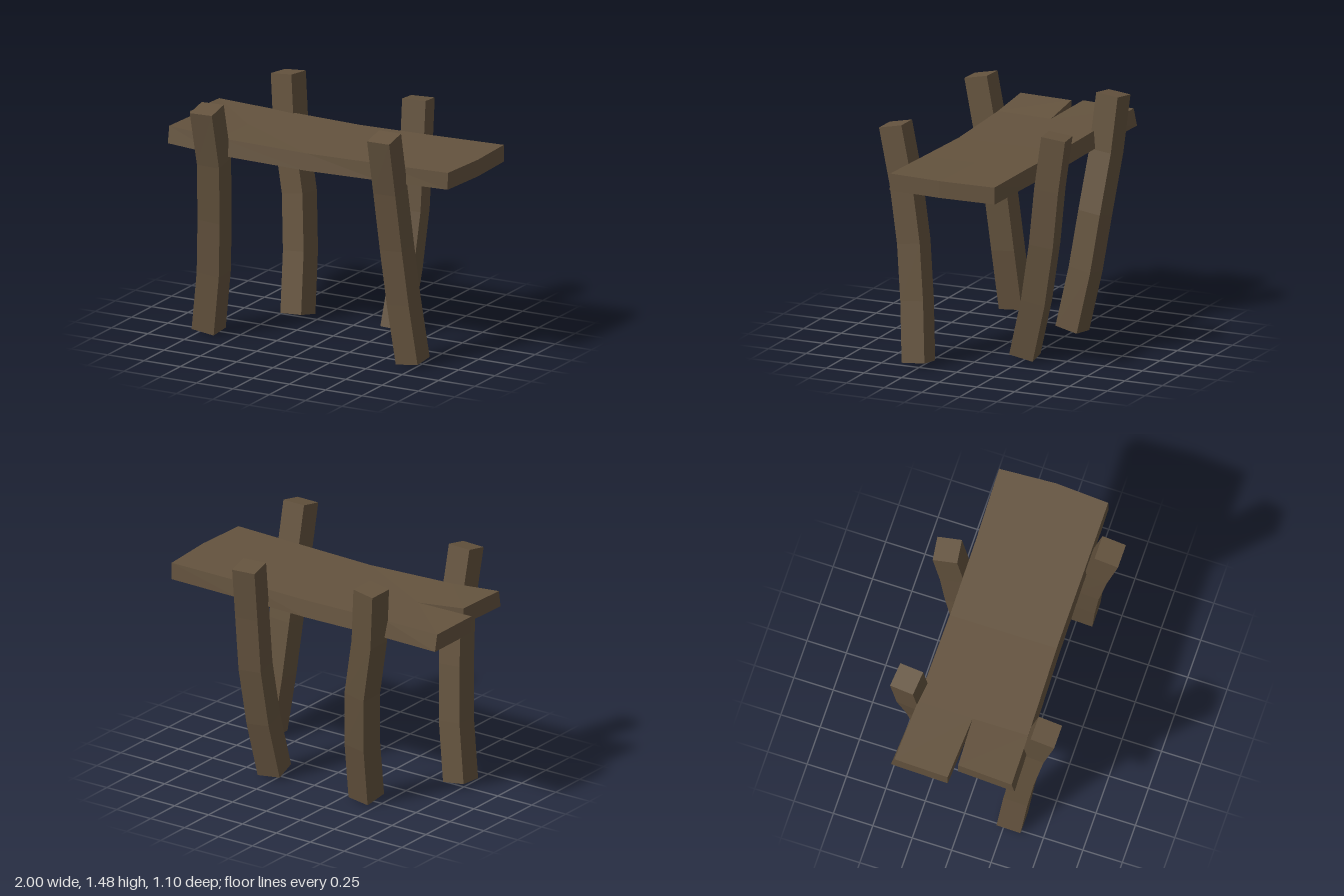
import * as THREE from 'three';

// Skin a closed ring of points along its stations, with optional end caps
function loft(rings, capStart = true, capEnd = true) {
  const pos = [];
  const tri = (...pts) => pts.forEach((p) => pos.push(...p));
  const n = rings[0].length;
  for (let k = 0; k < rings.length - 1; k++) {
    const a = rings[k], b = rings[k + 1];
    for (let i = 0; i < n; i++) {
      const j = (i + 1) % n;
      tri(a[i], a[j], b[j]);
      tri(a[i], b[j], b[i]);
    }
  }
  const first = rings[0], last = rings[rings.length - 1];
  for (let i = 1; i < n - 1; i++) {
    if (capStart) tri(first[0], first[i + 1], first[i]);
    if (capEnd) tri(last[0], last[i], last[i + 1]);
  }
  const geo = new THREE.BufferGeometry();
  geo.setAttribute('position', new THREE.Float32BufferAttribute(pos, 3));
  geo.computeVertexNormals();
  return geo;
}

// Crooked square post following a list of centres from foot to top
function postGeometry(path, yaw, size = 0.152) {
  const c = path.map((p) => new THREE.Vector3(...p));
  const h = size / 2;
  const rings = c.map((p, i) => {
    const t = c[Math.min(i + 1, c.length - 1)].clone().sub(c[Math.max(i - 1, 0)]).normalize();
    const u = new THREE.Vector3(Math.cos(yaw), 0, -Math.sin(yaw));
    u.addScaledVector(t, -u.dot(t)).normalize();
    const w = u.clone().cross(t);
    return [[-h, -h], [-h, h], [h, h], [h, -h]].map(([a, b]) =>
      p.clone().addScaledVector(u, a).addScaledVector(w, b).toArray());
  });
  return loft(rings);
}

export function createModel() {
  const model = new THREE.Group();
  model.name = 'rusticTable';
  const wood = new THREE.MeshStandardMaterial({ color: 0x64533e, flatShading: true });
  wood.name = 'darkWood';
  const add = (parent, name, geo) => {
    const mesh = new THREE.Mesh(geo, wood);
    mesh.name = name;
    parent.add(mesh);
  };

  // Legs, each bent and splayed differently
  const legs = {
    frontRightLeg: [0, [[-0.70, 0.025, 0.285], [-0.65, 0.4, 0.312], [-0.625, 0.75, 0.347],
      [-0.60, 1.12, 0.40], [-0.61, 1.468, 0.472]]],
    frontLeftLeg: [0, [[0.70, 0.025, 0.278], [0.655, 0.4, 0.308], [0.627, 0.75, 0.343],
      [0.613, 1.12, 0.40], [0.61, 1.468, 0.472]]],
    backLeftLeg: [0.13, [[0.30, 0.033, -0.243], [0.32, 0.39, -0.33], [0.335, 0.75, -0.39],
      [0.335, 1.1, -0.425], [0.327, 1.425, -0.468]]],
    backRightLeg: [-0.11, [[-0.378, 0.025, -0.243], [-0.403, 0.4, -0.32], [-0.437, 0.75, -0.368],
      [-0.515, 1.12, -0.405], [-0.55, 1.47, -0.435]]],
  };
  for (const [name, [yaw, path]] of Object.entries(legs)) add(model, name, postGeometry(path, yaw));

  // Table top: sagging plank, split at its right end
  const top = new THREE.Group();
  top.name = 'tableTop';
  model.add(top);
  const thick = 0.105;
  const under = ([x, y, z], out) => [x, y - thick, z + out];

  // Plank section from three upper points; the lower edges flare out a little
  const section = (back, mid, front, out) => [
    under(mid, 0), under(back, -out), back, mid, front, under(front, out)];
  const rootBack = [-0.59, 1.25, -0.35], rootMid = [-0.59, 1.25, -0.003], rootFront = [-0.59, 1.257, 0.35];
  add(top, 'plank', loft([
    section(rootBack, rootMid, rootFront, 0.015),
    section([0, 1.24, -0.343], [0, 1.24, 0], [0, 1.242, 0.335], 0.014),
    section([0.5, 1.248, -0.345], [0.5, 1.25, 0], [0.5, 1.252, 0.337], 0.008),
    section([0.978, 1.256, -0.355], [0.996, 1.26, 0], [0.975, 1.263, 0.338], 0.003),
  ], false, true));

  // Two prongs either side of the split
  const prong = (back, front, outBack, outFront) => [
    under(front, outFront), under(back, -outBack), back, front];
  add(top, 'backProng', loft([
    prong([-0.988, 1.257, -0.367], [-1.0, 1.265, -0.025], 0.022, 0),
    prong(rootBack, rootMid, 0.015, 0),
  ], true, false));
  add(top, 'frontProng', loft([
    prong([-0.913, 1.283, 0.012], [-0.931, 1.285, 0.358], 0, 0.018),
    prong(rootMid, rootFront, 0, 0.015),
  ], true, false));

  return model;
}
